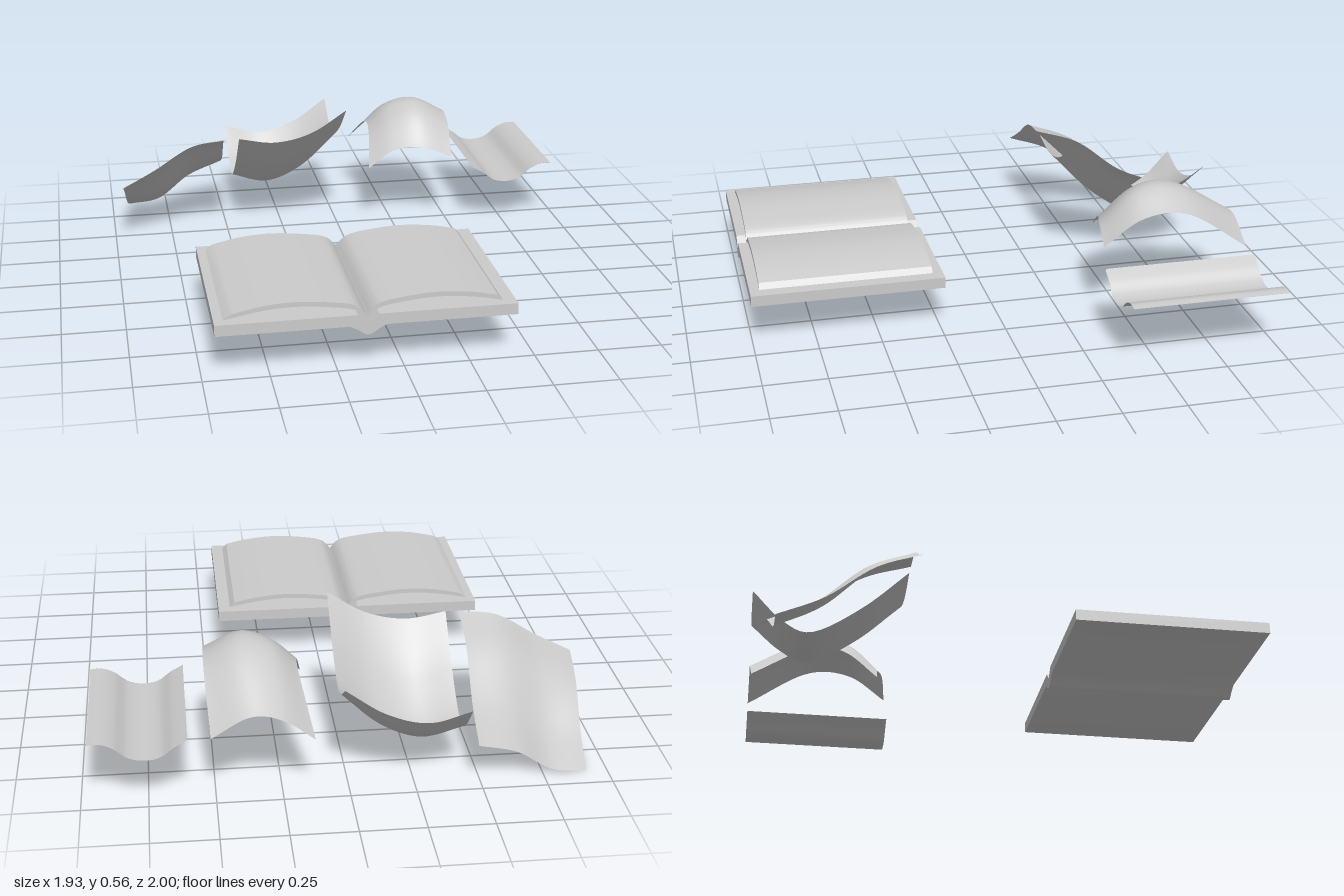
import * as THREE from 'three';
import { ParametricGeometry } from 'three/addons/geometries/ParametricGeometry.js';
import { toCreasedNormals } from 'three/addons/utils/BufferGeometryUtils.js';

const SPINE = -0.135;
const material = new THREE.MeshStandardMaterial({ color: 0xcccccc });
const paper = new THREE.MeshStandardMaterial({ color: 0xcccccc, side: THREE.DoubleSide });

const vectors = (points) => points.map((p) => new THREE.Vector2(...p));

// Slab whose x/y section runs along the underside (left to right) and back over the top
function slab(name, under, over, zBack, zFront) {
  const shape = new THREE.Shape();
  shape.moveTo(...under[0]);
  const add = (points) => {
    shape.lineTo(...points[0]);
    // each side of the gutter is its own smooth curve
    const mid = points.findIndex((p) => p[0] === SPINE);
    shape.splineThru(vectors(points.slice(1, mid + 1)));
    shape.splineThru(vectors(points.slice(mid + 1)));
  };
  add(under);
  add(over);
  shape.closePath();
  const geometry = new THREE.ExtrudeGeometry(shape, { depth: zFront - zBack, bevelEnabled: false, curveSegments: 8 });
  geometry.translate(0, 0, zBack);
  const mesh = new THREE.Mesh(toCreasedNormals(geometry, 0.5), material);
  mesh.name = name;
  return mesh;
}

// Cover board with a creased spine
function cover() {
  const shape = new THREE.Shape();
  shape.moveTo(-0.7, 0.175);
  shape.lineTo(SPINE - 0.07, 0.175);
  shape.splineThru(vectors([[SPINE - 0.04, 0.16], [SPINE, 0.138], [SPINE + 0.04, 0.16], [SPINE + 0.07, 0.175]]));
  for (const p of [[0.43, 0.175], [0.43, 0.219], [SPINE + 0.04, 0.219], [SPINE, 0.183], [SPINE - 0.04, 0.219], [-0.7, 0.219]]) {
    shape.lineTo(...p);
  }
  shape.closePath();
  const geometry = new THREE.ExtrudeGeometry(shape, { depth: 0.77, bevelEnabled: false, curveSegments: 4 });
  geometry.translate(0, 0, 0.23);
  const mesh = new THREE.Mesh(toCreasedNormals(geometry, 0.5), material);
  mesh.name = 'cover';
  return mesh;
}

// Thin curled sheet lofted through rows of points, listed front to back
function sheet(name, rows) {
  const curve = (points) => new THREE.CatmullRomCurve3(points, false, 'catmullrom', 0.5);
  const across = rows.map((row) => curve(row.map((p) => new THREE.Vector3(...p))));
  const point = (u, v, target) => {
    const along = across.map((c) => c.getPoint(u));
    target.copy(curve(along).getPoint(v));
  };
  const mesh = new THREE.Mesh(new ParametricGeometry(point, 28, 24), paper);
  mesh.name = name;
  return mesh;
}

export function createModel() {
  const model = new THREE.Group();

  // Open book
  const book = new THREE.Group();
  book.name = 'openBook';
  const top = [
    [0.36, 0.242], [0.26, 0.262], [0.13, 0.272], [0, 0.262], [-0.09, 0.243], [SPINE, 0.2],
    [-0.18, 0.243], [-0.28, 0.262], [-0.4, 0.272], [-0.52, 0.265], [-0.635, 0.242],
  ];
  const bottom = top.map(([x, y]) => [x, y - 0.019]).reverse();
  bottom[0] = [-0.665, 0.221];
  bottom[bottom.length - 1] = [0.38, 0.221];
  book.add(cover(), slab('pageBlock', bottom, top, 0.272, 0.962));
  model.add(book);

  // Loose sheets drifting behind the book
  model.add(sheet('lowSheet', [
    [[-0.97, 0.26, -0.385], [-0.82, 0.34, -0.388], [-0.66, 0.435, -0.39], [-0.505, 0.458, -0.39]],
    [[-0.955, 0.2, -0.56], [-0.81, 0.265, -0.565], [-0.655, 0.36, -0.575], [-0.5, 0.39, -0.585]],
    [[-0.937, 0.075, -0.735], [-0.795, 0.108, -0.74], [-0.647, 0.203, -0.757], [-0.492, 0.247, -0.778]],
    [[-0.92, 0, -0.91], [-0.78, 0.02, -0.915], [-0.64, 0.115, -0.94], [-0.485, 0.167, -0.97]],
  ]));

  const xs = [-0.45, -0.29, -0.13, 0.025];
  const cupped = [
    [-0.39, [0.46, 0.435, 0.47, 0.565]],
    [-0.57, [0.29, 0.25, 0.305, 0.43]],
    [-0.76, [0.17, 0.13, 0.195, 0.34]],
    [-0.88, [0.21, 0.175, 0.235, 0.365]],
    [-1, [0.33, 0.29, 0.335, 0.44]],
  ];
  model.add(sheet('cuppedSheet', cupped.map(([z, ys]) => xs.map((x, i) => [x, ys[i], z]))));

  model.add(sheet('archedSheet', [
    [[0.14, 0.265, -0.46], [0.25, 0.345, -0.45], [0.37, 0.365, -0.42], [0.505, 0.32, -0.4]],
    [[0.165, 0.385, -0.6], [0.265, 0.47, -0.59], [0.385, 0.5, -0.57], [0.522, 0.435, -0.56]],
    [[0.17, 0.395, -0.75], [0.27, 0.48, -0.75], [0.395, 0.5, -0.75], [0.527, 0.435, -0.75]],
    [[0.13, 0.24, -0.99], [0.25, 0.33, -1], [0.37, 0.35, -1], [0.515, 0.27, -1]],
  ]));

  const wave = [[0.6, 0.27], [0.65, 0.242], [0.7, 0.205], [0.76, 0.195], [0.82, 0.21], [0.87, 0.25], [0.92, 0.27], [0.965, 0.268]];
  model.add(sheet('wavySheet', [-0.39, -1].map((z) => wave.map(([x, y]) => [x, y, z]))));

  return model;
}
